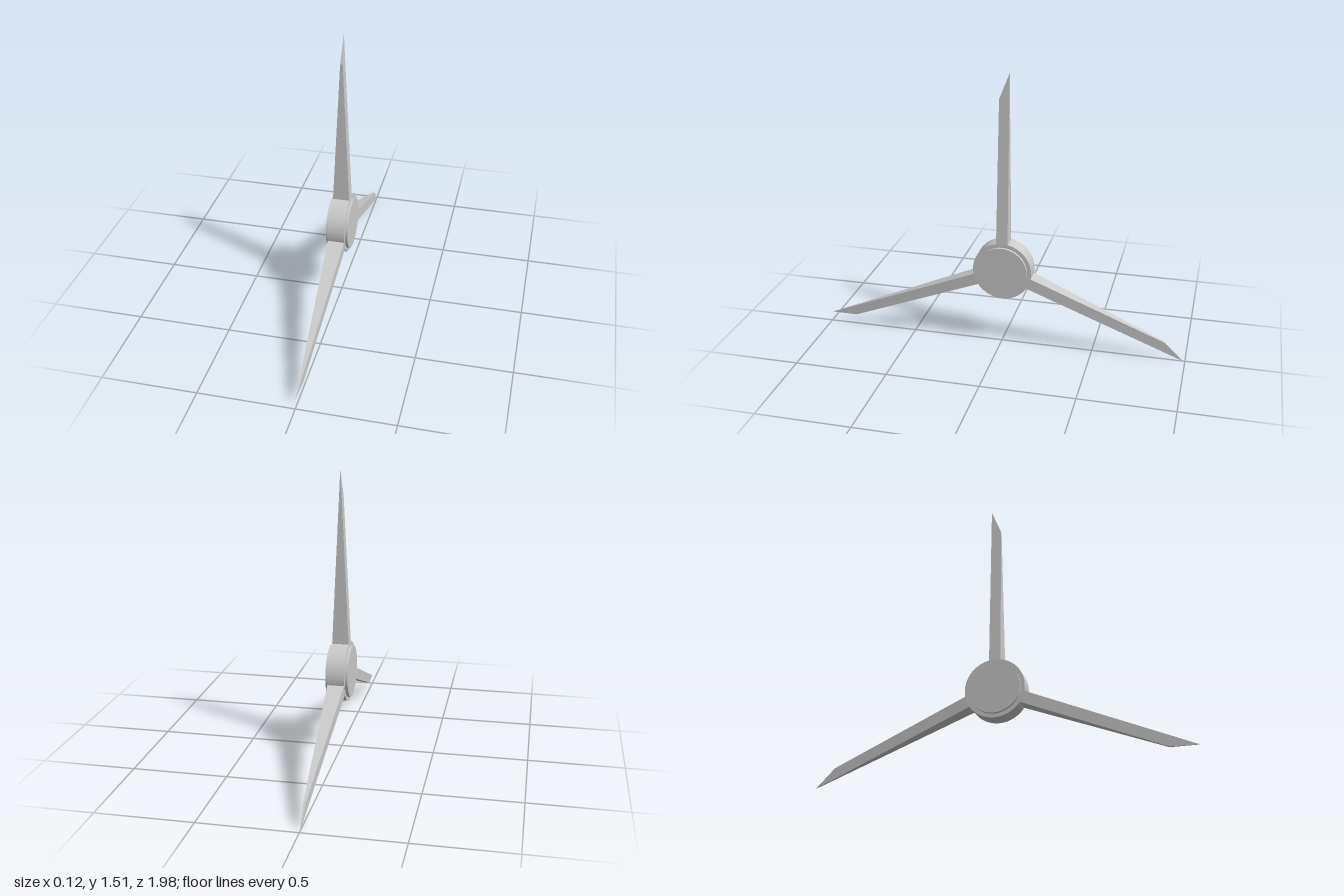
import * as THREE from 'three';

const material = new THREE.MeshStandardMaterial({ color: 0xcccccc });
const bladeMaterial = new THREE.MeshStandardMaterial({ color: 0xcccccc, flatShading: true });

// Blade outline seen from +x, as [z, y] from the hub centre
const ROOT = 0.14, TIP = 1.073;
const outline = [[0.032, ROOT], [0.024, 0.937], [-0.03, TIP], [-0.03, ROOT]];

// Wedge blade: full thickness at the root, thinning to nothing at the tip
function bladeGeometry() {
  const shape = new THREE.Shape(outline.map(([z, y]) => new THREE.Vector2(-z, y)));
  const geometry = new THREE.ExtrudeGeometry(shape, { depth: 2, bevelEnabled: false });
  geometry.translate(0, 0, -1).rotateY(Math.PI / 2);
  const p = geometry.attributes.position;
  for (let i = 0; i < p.count; i++) {
    const thickness = 0.045 * (TIP - p.getY(i)) / (TIP - ROOT);
    p.setX(i, Math.sign(p.getX(i)) * Math.max(thickness, 0.0005));
  }
  geometry.computeVertexNormals();
  return geometry;
}

function disc(name, radius, width) {
  const geometry = new THREE.CylinderGeometry(radius, radius, width, 64).rotateZ(Math.PI / 2);
  const mesh = new THREE.Mesh(geometry, material);
  mesh.name = name;
  return mesh;
}

export function createModel() {
  const model = new THREE.Group();
  model.name = 'rotor';

  // Hub with a raised cap on each side
  const rotor = new THREE.Group();
  rotor.name = 'hubAndBlades';
  rotor.position.set(0, 0.448, -0.01);
  rotor.add(disc('hub', 0.159, 0.09));
  for (const side of [-1, 1]) {
    const cap = disc(side > 0 ? 'leftCap' : 'rightCap', 0.138, 0.016);
    cap.position.x = side * 0.051;
    rotor.add(cap);
  }

  // Three blades fanned around the hub
  const geometry = bladeGeometry();
  for (const [name, degrees] of [['topBlade', 0], ['frontBlade', 112.5], ['backBlade', -112.5]]) {
    const blade = new THREE.Mesh(geometry, bladeMaterial);
    blade.name = name;
    blade.rotation.x = THREE.MathUtils.degToRad(degrees);
    rotor.add(blade);
  }
  model.add(rotor);
  return model;
}
